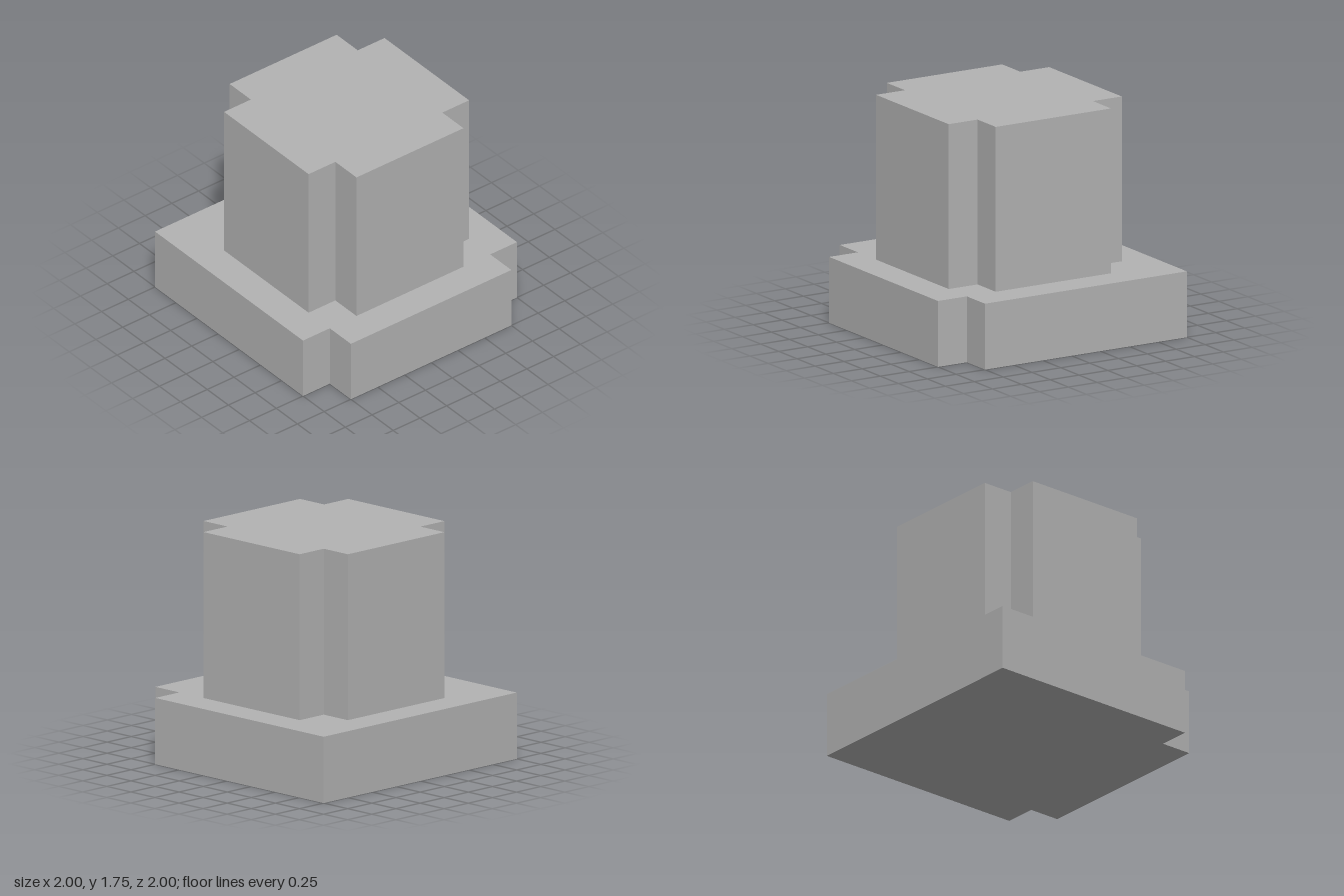
import * as THREE from 'three';

// Extrudes a ground-plan outline [x, z] upward from y0 to y1.
function prism(name, outline, y0, y1, material) {
  const shape = new THREE.Shape(outline.map(([x, z]) => new THREE.Vector2(x, -z)));
  const geometry = new THREE.ExtrudeGeometry(shape, { depth: y1 - y0, bevelEnabled: false });
  geometry.rotateX(-Math.PI / 2);
  geometry.translate(0, y0, 0);
  const mesh = new THREE.Mesh(geometry, material);
  mesh.name = name;
  return mesh;
}

export function createModel() {
  const model = new THREE.Group();
  model.name = 'steppedBlock';
  const grey = new THREE.MeshStandardMaterial({ color: 0xb2b2b2 });
  grey.name = 'grey';

  // Base slab, notched at its two +x corners
  model.add(prism('base', [
    [-1, 1], [0.75, 1], [0.75, 0.75], [1, 0.75],
    [1, -0.75], [0.75, -0.75], [0.75, -1], [-1, -1],
  ], 0, 0.5, grey));

  // Tower, notched at all four corners
  const corners = [[1, 1], [1, -1], [-1, -1], [-1, 1]];
  const cross = corners.flatMap(([sx, sz]) => {
    const notch = [[0.5 * sx, 0.75 * sz], [0.5 * sx, 0.5 * sz], [0.75 * sx, 0.5 * sz]];
    return sx * sz > 0 ? notch : notch.reverse();
  });
  model.add(prism('tower', cross, 0.5, 1.75, grey));

  return model;
}
